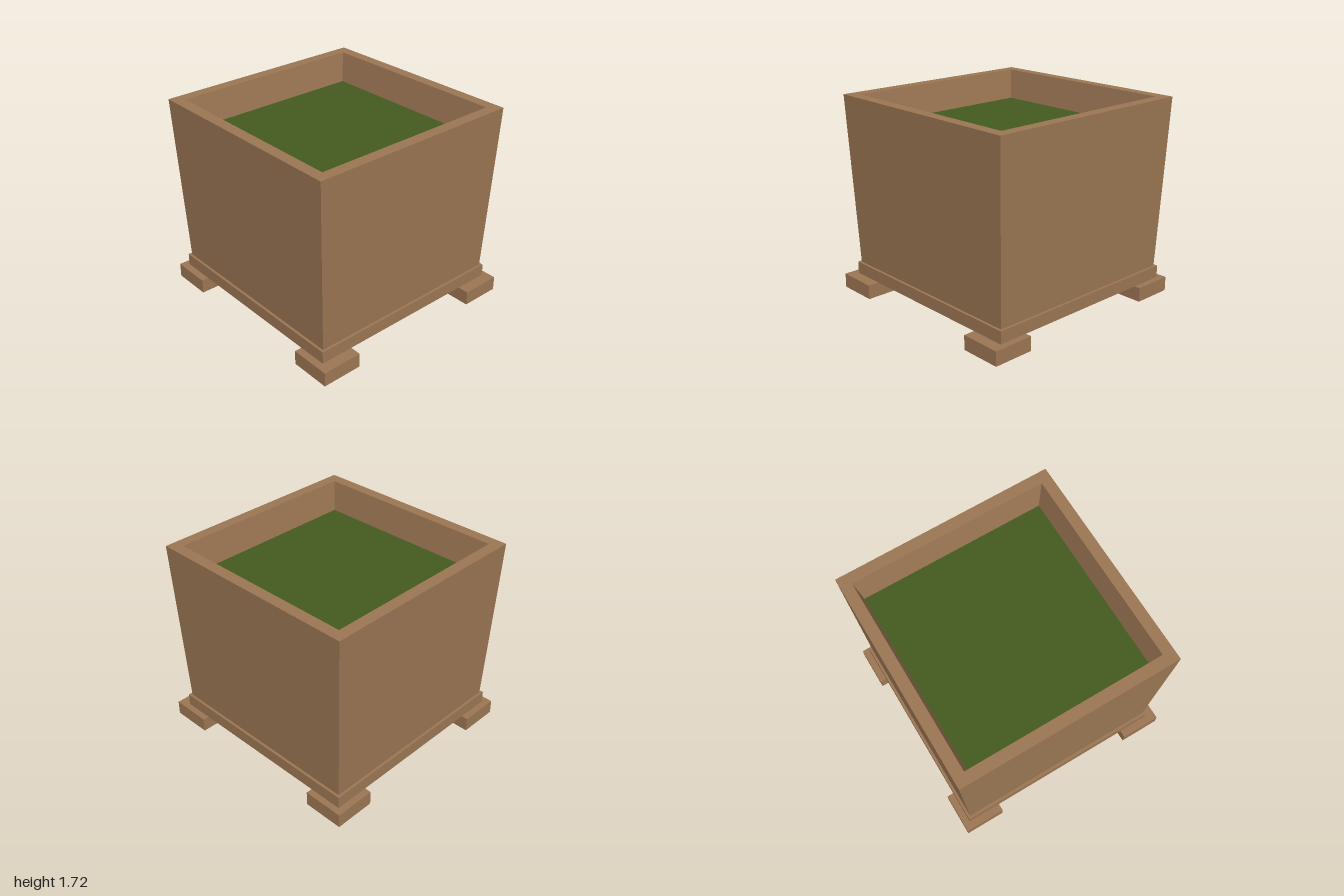
import * as THREE from 'three';

const CX = 0.005, CZ = -0.02; // tub sits slightly off the centre of its feet

// Square ring swept from [halfWidth, y] points, with flat sides
function squareLathe(profile) {
  const points = profile.map(([h, y]) => new THREE.Vector2(h * Math.SQRT2, y));
  const geometry = new THREE.LatheGeometry(points, 4).rotateY(Math.PI / 4).toNonIndexed();
  geometry.computeVertexNormals();
  return geometry;
}

// Box without its underside
function openBox(w, h, d) {
  const geometry = new THREE.BoxGeometry(w, h, d);
  const index = Array.from(geometry.index.array);
  index.splice(18, 6);
  geometry.setIndex(index);
  geometry.clearGroups();
  return geometry;
}

export function createModel() {
  const model = new THREE.Group();
  model.name = 'planter';

  const wood = new THREE.MeshStandardMaterial({ color: 0x9b7653, side: THREE.DoubleSide });
  wood.name = 'wood';
  const green = new THREE.MeshStandardMaterial({ color: 0x445a20, side: THREE.DoubleSide });
  green.name = 'grass green';

  function add(name, geometry, material, x, y, z) {
    const mesh = new THREE.Mesh(geometry, material);
    mesh.name = name;
    mesh.position.set(x, y, z);
    model.add(mesh);
  }

  // Tapered tub: outer wall, flat rim and inner wall
  add('tub', squareLathe([[0.9, 0.23], [0.955, 1.72], [0.858, 1.72], [0.816, 1.46]]), wood, CX, 0, CZ);

  // Planted surface inside the tub
  add('grass', new THREE.PlaneGeometry(1.634, 1.634).rotateX(-Math.PI / 2), green, CX, 1.461, CZ);

  // Plinth under the tub
  add('plinth', new THREE.BoxGeometry(1.845, 0.107, 1.845), wood, CX, 0.1785, CZ);

  // Four hollow feet at the corners
  for (const [sx, side] of [[1, 'Left'], [-1, 'Right']]) {
    for (const [sz, end] of [[1, 'front'], [-1, 'back']]) {
      add(end + side + 'Foot', openBox(0.356, 0.125, 0.356), wood, sx * 0.803, 0.0625, sz * 0.822);
    }
  }
  return model;
}
